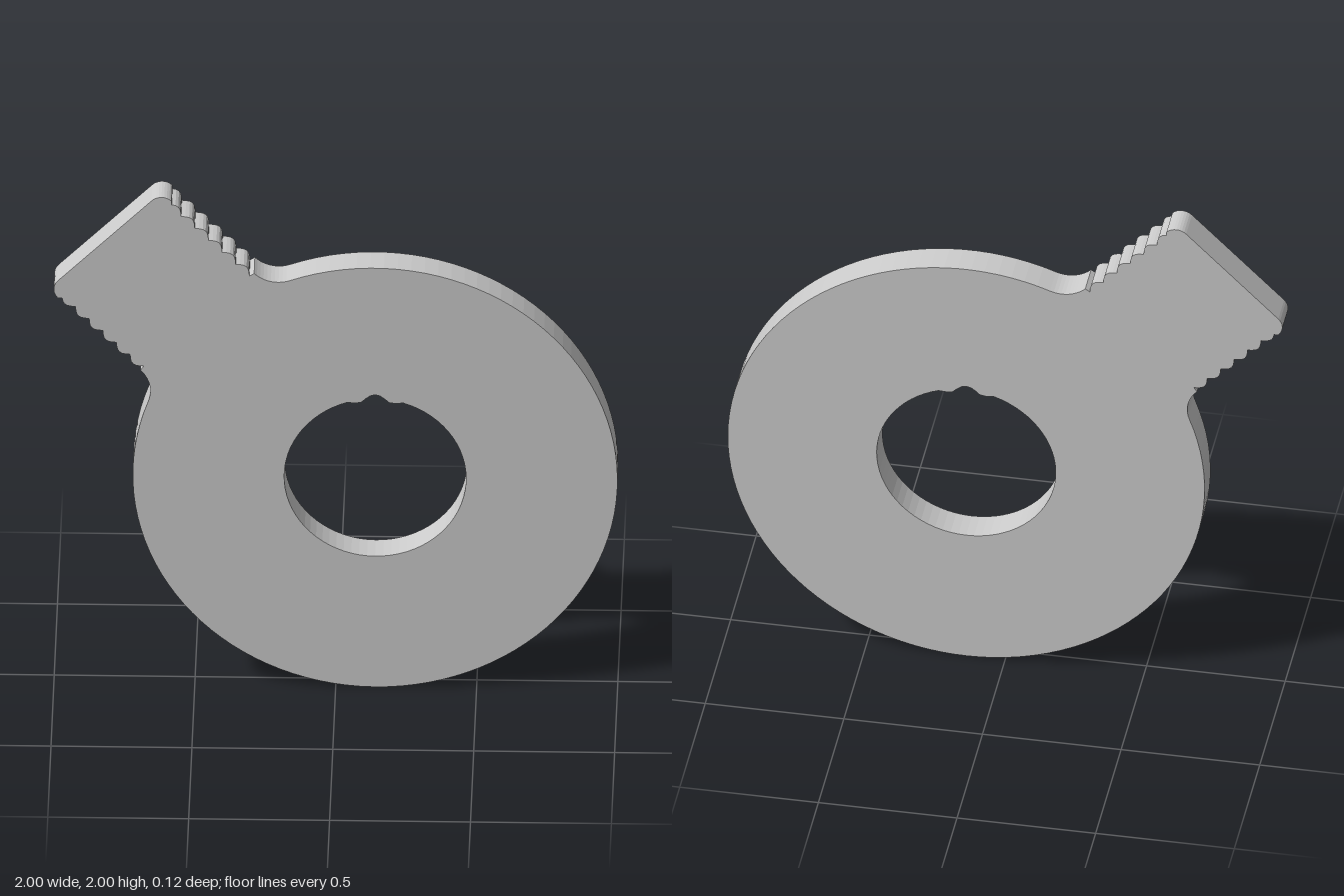
import * as THREE from 'three';

const R = 0.86;            // disc radius
const CX = 0.14, CY = 0.86; // disc centre
const THICK = 0.115;
const END = 1.357, HALF = 0.285, CORNER = 0.05; // tab reach, half width, corner radius
const FILLET = 0.12;
const TEETH = 6, PITCH = 0.0685, TOOTH = 0.02;

function arc(cx, cy, r, a0, a1, n) {
  return Array.from({ length: n + 1 }, (_, i) => {
    const a = a0 + ((a1 - a0) * i) / n;
    return new THREE.Vector2(cx + r * Math.cos(a), cy + r * Math.sin(a));
  });
}

// One half of the outline with the tab along +x, from the tab's end round to the far side of the disc
function halfOutline() {
  const cw = HALF + FILLET;
  const cu = Math.sqrt((R + FILLET) ** 2 - cw ** 2);
  const start = END - CORNER;
  const pts = arc(start, HALF - CORNER, CORNER, 0, Math.PI / 2, 8);
  // rounded grip teeth
  const steps = 6;
  for (let i = 1; i <= TEETH * steps; i++) {
    const bump = Math.abs(Math.sin((Math.PI * i) / steps));
    pts.push(new THREE.Vector2(start - (PITCH * i) / steps, HALF - TOOTH + TOOTH * bump));
  }
  // fillet into the disc, then the disc rim
  const joint = Math.atan2(cw, cu);
  pts.push(...arc(cu, cw, FILLET, -Math.PI / 2, joint - Math.PI, 10));
  pts.push(...arc(0, 0, R, joint, Math.PI, 48).slice(1));
  return pts;
}

// Centre hole with two small lips and a rounded notch at its top
function holePath() {
  const r = 0.323, edge = Math.acos(0.1 / r);
  const pts = arc(0, 0, r, Math.PI - edge, 2 * Math.PI + edge, 64);
  const lip = [[0.07, 0.305], [0.05, 0.308], [0.035, 0.322], [0.018, 0.335]];
  lip.forEach(([x, y]) => pts.push(new THREE.Vector2(x, y)));
  pts.push(new THREE.Vector2(0, 0.34));
  lip.reverse().forEach(([x, y]) => pts.push(new THREE.Vector2(-x, y)));
  return new THREE.Path(pts);
}

export function createModel() {
  const group = new THREE.Group();
  group.name = 'tabbedWasher';

  const half = halfOutline();
  const mirrored = half.slice(0, -1).reverse().map((p) => new THREE.Vector2(p.x, -p.y));
  const origin = new THREE.Vector2();
  const outline = [...half, ...mirrored].map((p) => p.rotateAround(origin, (3 * Math.PI) / 4));

  const shape = new THREE.Shape(outline);
  shape.holes.push(holePath());

  const geometry = new THREE.ExtrudeGeometry(shape, { depth: THICK, bevelEnabled: false });
  geometry.translate(CX, CY, -THICK / 2);

  const plate = new THREE.Mesh(geometry, new THREE.MeshStandardMaterial({ color: 0xcccccc }));
  plate.name = 'plate';
  group.add(plate);
  return group;
}
